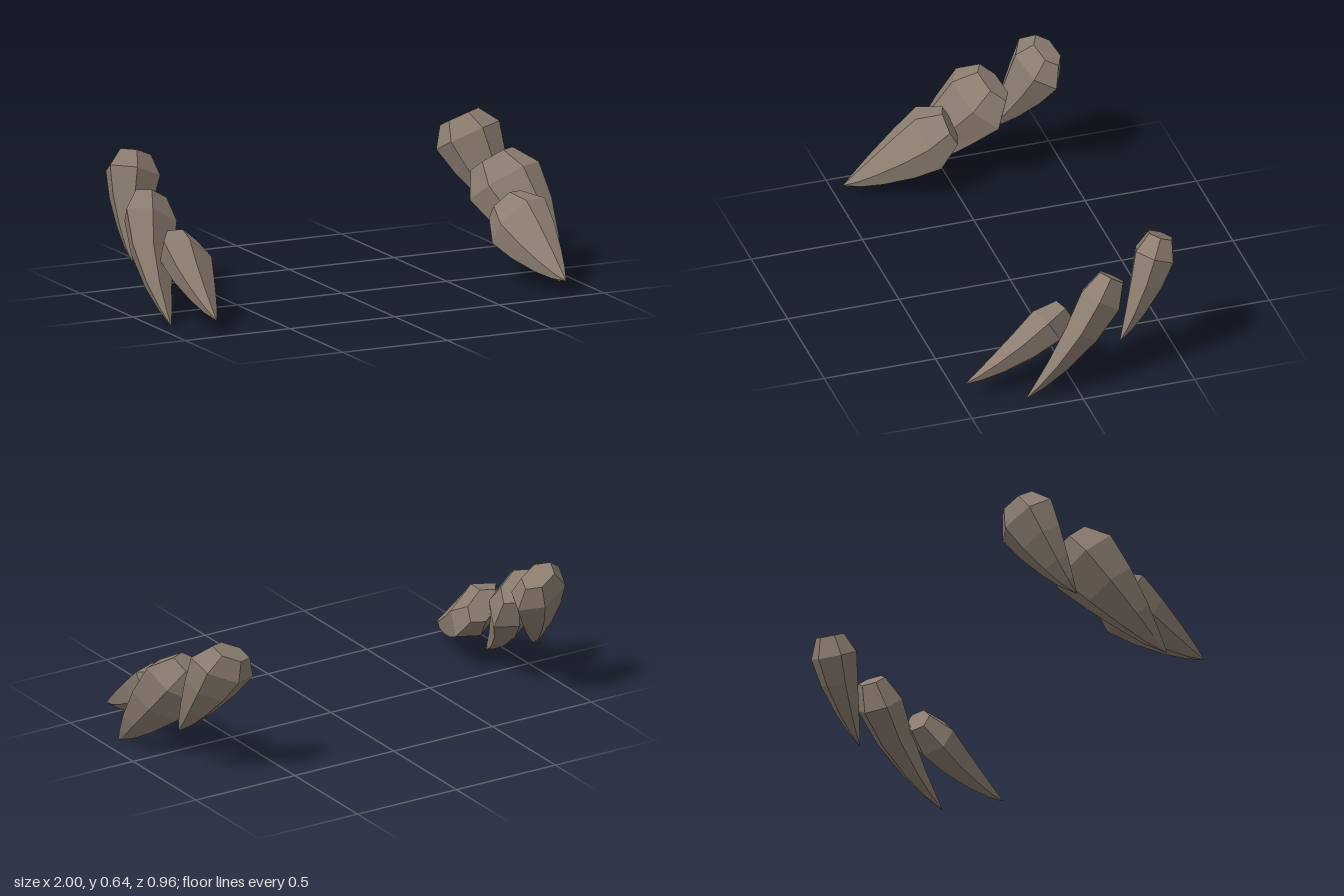
import * as THREE from 'three';

// Each claw: tip, base centre, two neighbouring corner directions of its
// six-sided base, centre of the small end cap, and an outward bow (x, y, z).
const CLAWS = [
  { name: 'frontClaw', tip: [0.835, 0.067, 0.478], base: [0.795, 0.259, 0.105],
    u: [0.01, 0.098, 0.055], v: [0.115, 0.092, 0.02], cap: [0.775, 0.314, 0.015], bow: 0.005 },
  { name: 'middleClaw', tip: [0.93, 0.002, 0.235], base: [0.845, 0.38, -0.13],
    u: [0.04, 0.08, 0.10], v: [0.14, 0.08, 0.05], cap: [0.815, 0.468, -0.19], bow: 0.022 },
  { name: 'rearClaw', tip: [0.90, 0.19, -0.197], base: [0.80, 0.532, -0.387],
    u: [0.025, 0.048, 0.092], v: [0.13, 0.058, 0.042], cap: [0.776, 0.609, -0.4215], bow: 0.005 },
];

// Taper: position along the straight leading edge, ring scale, share of bow
const TAPER = [[0.164, 0.25, 0.5], [0.38, 0.5, 1], [0.70, 0.8, 1], [1, 1, 0]];
const CAP_SCALE = 0.61;
const SHIFT = -0.004;

function clawGeometry(claw, side) {
  const vec = (a) => new THREE.Vector3(...a);
  const [tip, base, u, v, cap] = [claw.tip, claw.base, claw.u, claw.v, claw.cap].map(vec);
  const w = v.clone().sub(u);
  const spokes = [u, v, w, u.clone().negate(), v.clone().negate(), w.clone().negate()];
  const ring = (centre, s) => spokes.map((d) => centre.clone().addScaledVector(d, s));

  // Rings from the point up to the rounded end
  const lead = base.clone().add(u);
  const rings = [ring(tip, 0)];
  for (const [f, s, bow] of TAPER) {
    const centre = tip.clone().lerp(lead, f).addScaledVector(u, -s);
    centre.x += bow * claw.bow;
    rings.push(ring(centre, s));
  }
  rings.push(ring(cap, CAP_SCALE), ring(cap, 0));

  const positions = [];
  const triangle = (a, b, c) => {
    const corners = side > 0 ? [a, b, c] : [a, c, b];
    for (const p of corners) positions.push(side * p.x + SHIFT, p.y, p.z);
  };
  for (let k = 0; k < rings.length - 1; k++) {
    const low = rings[k], high = rings[k + 1];
    for (let i = 0; i < 6; i++) {
      const j = (i + 1) % 6;
      if (k > 0) triangle(low[i], low[j], high[j]);
      if (k < rings.length - 2) triangle(low[i], high[j], high[i]);
    }
  }
  const geometry = new THREE.BufferGeometry();
  geometry.setAttribute('position', new THREE.Float32BufferAttribute(positions, 3));
  geometry.computeVertexNormals();
  return geometry;
}

export function createModel() {
  const model = new THREE.Group();
  model.name = 'claws';
  const horn = new THREE.MeshStandardMaterial({ color: 0x8c7d70, flatShading: true });
  horn.name = 'horn';

  // Mirrored sets of three claws
  for (const side of [1, -1]) {
    const set = new THREE.Group();
    set.name = side > 0 ? 'leftClaws' : 'rightClaws';
    for (const claw of CLAWS) {
      const mesh = new THREE.Mesh(clawGeometry(claw, side), horn);
      mesh.name = claw.name;
      set.add(mesh);
    }
    model.add(set);
  }
  return model;
}
